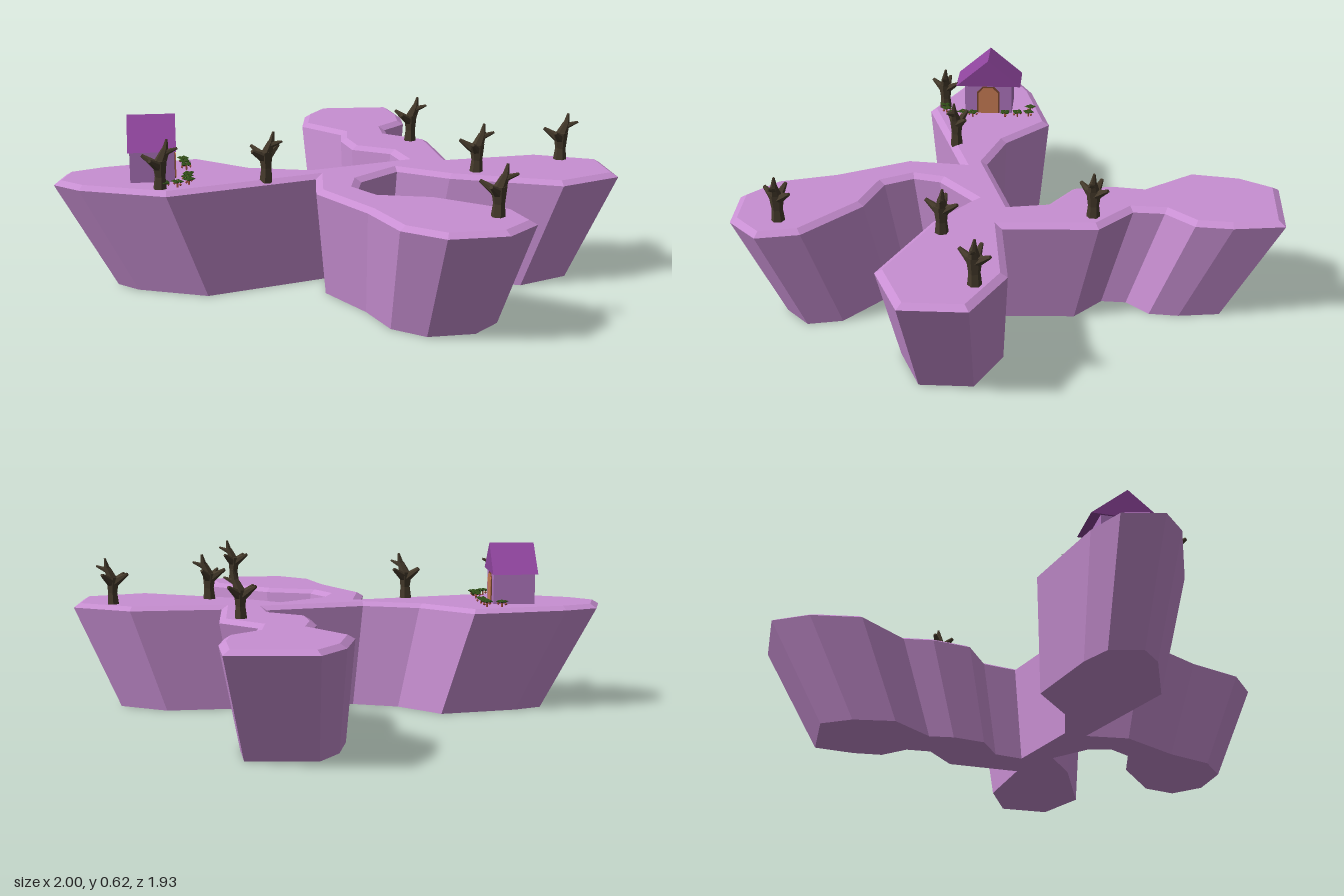
import * as THREE from 'three';

const mat = (name, color, flatShading = true) => {
  const m = new THREE.MeshStandardMaterial({ color, flatShading });
  m.name = name;
  return m;
};

// Clifftop outline as [x, z], clockwise when seen from above
const OUTLINE = [
  // north arm, east side
  [0.07, -0.97], [0.37, -0.96], [0.395, -0.78], [0.385, -0.65], [0.29, -0.55], [0.285, -0.44], [0.425, -0.32], [0.44, 0.01],
  // east arm
  [0.775, -0.03], [1, 0.075], [1, 0.3], [0.77, 0.4], [0.395, 0.25], [0.225, 0.13],
  // south arm
  [0.075, 0.26], [0.05, 0.36], [0.11, 0.46], [0.29, 0.51], [0.52, 0.69], [0.555, 0.84], [0.44, 0.95], [0.24, 0.96],
  [0.11, 0.855], [0.04, 0.65], [-0.1, 0.395], [-0.08, 0.2],
  // west arm
  [-0.61, 0.37], [-0.91, 0.25], [-1, 0.165], [-0.965, 0.025], [-0.84, -0.035], [-0.49, -0.12], [-0.3, 0.04], [-0.09, 0.1],
  // north arm, west side
  [0.27, -0.01], [0.245, -0.14], [0.11, -0.225], [0.085, -0.37], [0.1, -0.48], [-0.04, -0.655], [-0.01, -0.84],
];
const TOP = 0.395;

// Mitred inset of a counter-clockwise 2D loop
function inset(loop, d) {
  return loop.map((p, i) => {
    const a = loop[(i + loop.length - 1) % loop.length], b = loop[(i + 1) % loop.length];
    const e1 = p.clone().sub(a).normalize(), e2 = b.clone().sub(p).normalize();
    const n = new THREE.Vector2(-e1.y - e2.y, e1.x + e2.x);
    return p.clone().addScaledVector(n, d / (1 + e1.dot(e2)));
  });
}

// Tapered island: underside, rim and bevelled plateau joined by quads
function islandGeometry() {
  const rim = OUTLINE.map(([x, z]) => new THREE.Vector2(x, -z)).reverse();
  const base = rim.map((p) => new THREE.Vector2(p.x * 0.81 + 0.02, p.y * 0.81 - 0.018));
  const plateau = inset(rim, 0.024);
  const rings = [[base, 0], [rim, 0.38], [plateau, TOP]];
  const pos = [];
  const put = (p, y) => pos.push(p.x, y, -p.y);
  for (let r = 0; r < 2; r++) {
    const [lo, y0] = rings[r], [hi, y1] = rings[r + 1];
    lo.forEach((a, i) => {
      const j = (i + 1) % lo.length;
      put(a, y0); put(lo[j], y0); put(hi[j], y1);
      put(a, y0); put(hi[j], y1); put(hi[i], y1);
    });
  }
  for (const [a, b, c] of THREE.ShapeUtils.triangulateShape(plateau, [])) {
    for (const k of [a, b, c]) put(plateau[k], TOP);
  }
  for (const [a, b, c] of THREE.ShapeUtils.triangulateShape(base, [])) {
    for (const k of [c, b, a]) put(base[k], 0);
  }
  const g = new THREE.BufferGeometry();
  g.setAttribute('position', new THREE.Float32BufferAttribute(pos, 3));
  g.computeVertexNormals();
  return g;
}

export function createModel() {
  const model = new THREE.Group();
  model.name = 'island';
  const land = mat('lilac land', 0xc88fd2);
  const wall = mat('house wall', 0xb076bf);
  const roofMat = mat('purple roof', 0x8e449c);
  const doorMat = mat('orange door', 0xc97c55);
  const frameMat = mat('door frame', 0x7a4630);
  const bark = mat('dark bark', 0x453a2b);
  const leaf = mat('dark leaf', 0x2f4d17);
  const bloom = mat('red bloom', 0xa0503f);

  const add = (parent, name, geo, material, x = 0, y = 0, z = 0) => {
    const m = new THREE.Mesh(geo, material);
    m.name = name;
    m.position.set(x, y, z);
    parent.add(m);
    return m;
  };

  add(model, 'land', islandGeometry(), land);

  // House, with its door facing +x
  const house = new THREE.Group();
  house.name = 'house';
  house.position.set(-0.655, TOP - 0.01, 0.13);
  model.add(house);
  add(house, 'walls', new THREE.BoxGeometry(0.155, 0.14, 0.19), wall, 0, 0.07, 0);
  const gable = new THREE.Shape([[-0.13, 0], [0.13, 0], [0, 0.108]].map((p) => new THREE.Vector2(...p)));
  const roofGeo = new THREE.ExtrudeGeometry(gable, { depth: 0.168, bevelEnabled: false });
  roofGeo.translate(0, 0, -0.084).rotateY(Math.PI / 2);
  add(house, 'roof', roofGeo, roofMat, 0, 0.125, 0);
  const arch = (w, h) => {
    const s = new THREE.Shape();
    s.moveTo(-w, 0).lineTo(w, 0).lineTo(w, h - w * 0.5).lineTo(w * 0.5, h).lineTo(-w * 0.5, h).lineTo(-w, h - w * 0.5);
    return new THREE.ExtrudeGeometry(s, { depth: 0.004, bevelEnabled: false }).rotateY(Math.PI / 2);
  };
  add(house, 'doorFrame', arch(0.046, 0.122), frameMat, 0.0765, 0, 0);
  add(house, 'door', arch(0.04, 0.115), doorMat, 0.079, 0, 0);

  // Bare trees: a flared trunk with tapering limbs
  const limb = (parent, name, a, b, r0, r1) => {
    const from = new THREE.Vector3(...a), dir = new THREE.Vector3(...b).sub(from);
    const m = add(parent, name, new THREE.CylinderGeometry(r1, r0, dir.length(), 6), bark);
    m.position.copy(from).addScaledVector(dir, 0.5);
    m.quaternion.setFromUnitVectors(new THREE.Vector3(0, 1, 0), dir.normalize());
  };
  const LIMBS = [
    [[0, -0.01, 0], [0.002, 0.045, 0], 0.025, 0.019],
    [[0.002, 0.04, 0], [0, 0.1, 0], 0.019, 0.027],
    [[0, 0.075, 0], [-0.055, 0.115, -0.028], 0.02, 0.006],
    [[0, 0.075, 0], [-0.042, 0.11, 0.045], 0.02, 0.006],
    [[0, 0.075, 0], [0.04, 0.115, -0.048], 0.02, 0.006],
    [[0, 0.085, 0], [0.02, 0.135, 0.003], 0.023, 0.013],
    [[0.02, 0.13, 0.003], [0.028, 0.172, 0], 0.013, 0.004],
    [[0.018, 0.125, 0.003], [0.06, 0.142, 0.018], 0.012, 0.004],
  ];
  const TREES = [[0.35, -0.3, 0], [0.85, 0.07, 0.15], [0.5, 0.21, 0.3], [0.44, 0.78, 0.1], [-0.26, 0.23, -0.2], [-0.63, 0.31, 0.2]];
  for (const [x, z, turn] of TREES) {
    const tree = new THREE.Group();
    tree.name = 'tree';
    tree.position.set(x, TOP, z);
    tree.rotation.y = turn;
    LIMBS.forEach((l, i) => limb(tree, i < 2 ? 'trunk' : 'branch', ...l));
    model.add(tree);
  }

  // Small flowering shrubs forming two garden corners
  const SHRUBS = [
    [-0.6, -0.04], [-0.545, -0.035], [-0.54, 0.01], [-0.535, 0.06],
    [-0.53, 0.19], [-0.535, 0.23], [-0.53, 0.27], [-0.57, 0.3], [-0.615, 0.31],
  ];
  SHRUBS.forEach(([x, z], i) => {
    const shrub = new THREE.Group();
    shrub.name = 'shrub';
    shrub.position.set(x, TOP, z);
    shrub.rotation.y = i * 1.3;
    add(shrub, 'stem', new THREE.CylinderGeometry(0.003, 0.004, 0.025, 5), bloom, 0, 0.01, 0);
    for (let k = 0; k < 4; k++) {
      const a = (k * Math.PI) / 2;
      const l = add(shrub, 'leaf', new THREE.OctahedronGeometry(0.013), leaf, Math.cos(a) * 0.011, 0.021, Math.sin(a) * 0.011);
      l.scale.y = 0.45;
      l.rotation.y = -a;
    }
    for (const s of [-1, 1]) {
      add(shrub, 'flower', new THREE.OctahedronGeometry(0.006), bloom, s * 0.013, 0.012, s * 0.008);
    }
    model.add(shrub);
  });

  return model;
}
